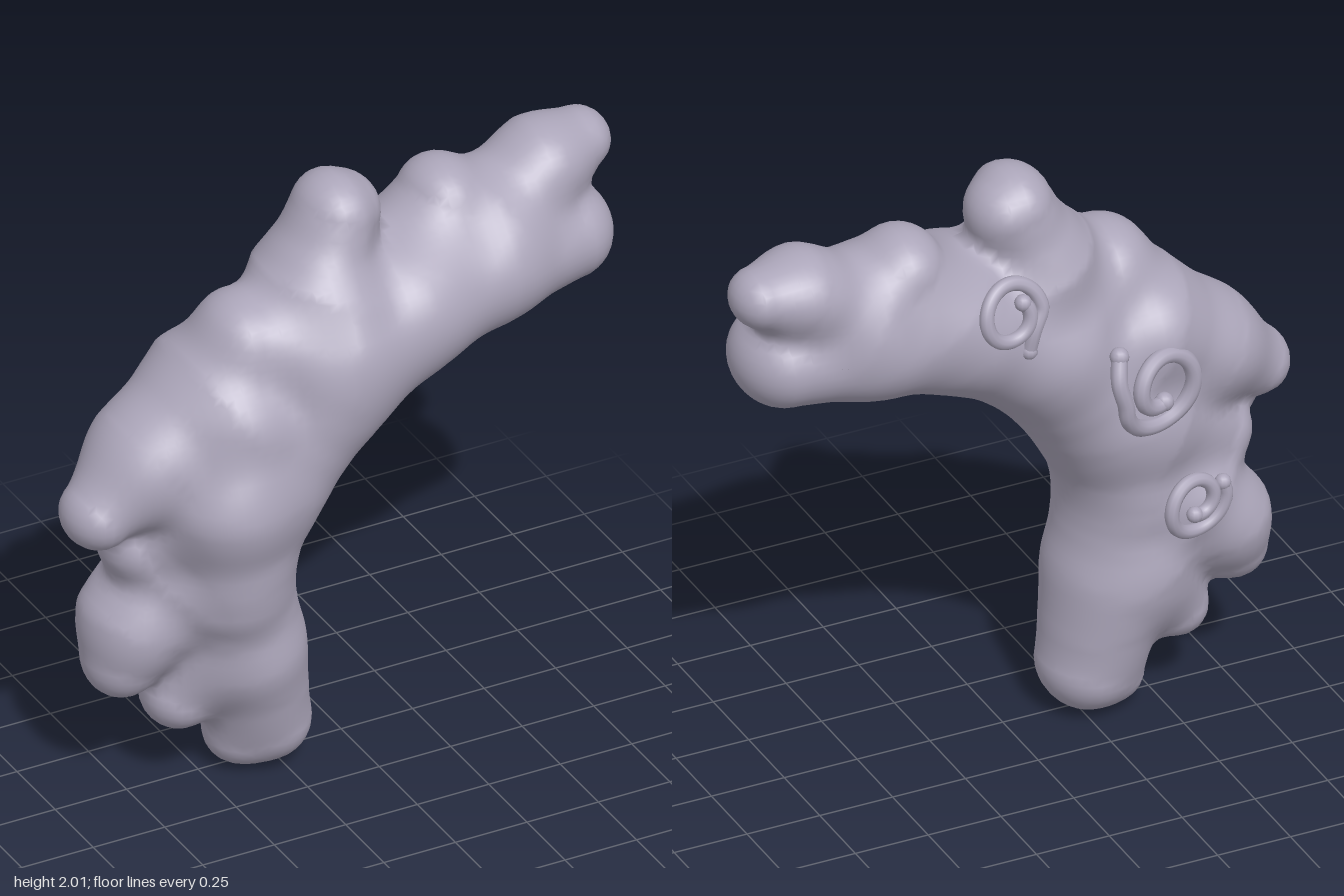
import * as THREE from 'three';

const DEPTH = 1.2; // every strand is a little deeper than it is wide

// Main arched strand: x, y, z, radius
const SPINE = [
  [-0.28, 0.155, 0, 0.15], [-0.37, 0.45, 0.015, 0.195], [-0.43, 0.78, 0.025, 0.205],
  [-0.355, 1.07, 0.025, 0.24], [-0.12, 1.375, 0.025, 0.25], [0.18, 1.53, 0.005, 0.235],
  [0.5, 1.58, -0.03, 0.21], [0.79, 1.57, -0.05, 0.16],
];

// Swell along the front of the arch
const FRONT_SWELL = [[-0.47, 0.72, 0.1, 0.145], [-0.49, 1.06, 0.12, 0.185], [-0.42, 1.3, 0.1, 0.17]];

// Swept-out locks, from root to tip
const LOCKS = [
  [[-0.33, 0.32, 0, 0.13], [-0.385, 0.1, 0, 0.08]],
  [[-0.46, 0.52, -0.02, 0.17], [-0.575, 0.3, -0.01, 0.11]],
  [[-0.61, 0.71, -0.03, 0.18], [-0.72, 0.59, -0.03, 0.145], [-0.77, 0.465, -0.02, 0.11]],
  [[-0.5, 1.02, 0, 0.2], [-0.725, 0.89, -0.01, 0.11]],
  [[-0.46, 1.34, 0, 0.225], [-0.69, 1.2, 0.01, 0.16], [-0.88, 1.065, 0.04, 0.11]],
  [[-0.09, 1.51, 0.07, 0.215], [-0.36, 1.555, 0.03, 0.15]],
  [[-0.09, 1.68, 0, 0.195], [-0.015, 1.885, -0.02, 0.11], [0.04, 1.875, -0.04, 0.09]],
  [[0.3, 1.64, -0.05, 0.18], [0.385, 1.79, -0.07, 0.135]],
  [[0.56, 1.7, -0.06, 0.165], [0.74, 1.81, -0.085, 0.12], [0.89, 1.835, -0.11, 0.095]],
];

const chain = (nodes, blend) => nodes.slice(1).map((b, i) => [nodes[i], b, blend]);
const CAPSULES = [
  ...chain(SPINE, 0.05), ...[FRONT_SWELL, ...LOCKS].flatMap((nodes) => chain(nodes, 0.085)),
];

// Signed distance to all strands melted together
function field(x, y, z) {
  let d = 10;
  for (const [a, b, k] of CAPSULES) {
    const px = x - a[0], py = y - a[1], pz = (z - a[2]) / DEPTH;
    const ex = b[0] - a[0], ey = b[1] - a[1], ez = (b[2] - a[2]) / DEPTH;
    let t = (px * ex + py * ey + pz * ez) / (ex * ex + ey * ey + ez * ez);
    t = Math.min(1, Math.max(0, t));
    const e = Math.hypot(px - t * ex, py - t * ey, pz - t * ez) - (a[3] + (b[3] - a[3]) * t);
    const h = Math.max(k - Math.abs(d - e), 0) / k;
    d = Math.min(d, e) - h * h * k / 4;
  }
  return d;
}

function gradient(p) {
  const e = 0.012;
  return new THREE.Vector3(
    field(p.x + e, p.y, p.z) - field(p.x - e, p.y, p.z),
    field(p.x, p.y + e, p.z) - field(p.x, p.y - e, p.z),
    field(p.x, p.y, p.z + e) - field(p.x, p.y, p.z - e),
  ).divideScalar(2 * e);
}

// Smooth skin over the field: one vertex per crossed cell, one quad per crossed grid edge
function skinGeometry() {
  const step = 0.03, n = [74, 74, 32], low = [-1.11, -0.1, -0.47];
  const stride = [1, n[0], n[0] * n[1]];
  const values = new Float32Array(n[0] * n[1] * n[2]);
  const each = (fn) => {
    for (let k = 1; k < n[2] - 1; k++)
      for (let j = 1; j < n[1] - 1; j++)
        for (let i = 1; i < n[0] - 1; i++) fn(i, j, k, i + j * stride[1] + k * stride[2]);
  };
  values.fill(1);
  each((i, j, k, id) => {
    values[id] = field(low[0] + i * step, low[1] + j * step, low[2] + k * step);
  });

  const positions = [], normals = [], index = [], cellVertex = new Map();
  each((i, j, k, id) => {
    let inside = 0;
    for (let c = 0; c < 8; c++) {
      const corner = id + (c & 1) + ((c >> 1) & 1) * stride[1] + (c >> 2) * stride[2];
      if (values[corner] < 0) inside++;
    }
    if (inside === 0 || inside === 8) return;
    const p = new THREE.Vector3(i + 0.5, j + 0.5, k + 0.5).multiplyScalar(step)
      .add(new THREE.Vector3(...low));
    for (let s = 0; s < 4; s++) {
      const g = gradient(p);
      p.addScaledVector(g, -field(p.x, p.y, p.z) / Math.max(g.lengthSq(), 0.3));
    }
    cellVertex.set(id, positions.length / 3);
    positions.push(p.x, p.y, p.z);
    normals.push(...gradient(p).normalize().toArray());
  });
  each((i, j, k, id) => {
    for (let d = 0; d < 3; d++) {
      const inside = values[id] < 0;
      if (inside === values[id + stride[d]] < 0) continue;
      const u = stride[(d + 1) % 3], v = stride[(d + 2) % 3];
      const q = [id, id - u, id - u - v, id - v].map((c) => cellVertex.get(c));
      if (!inside) q.reverse();
      index.push(q[0], q[1], q[2], q[0], q[2], q[3]);
    }
  });

  const geometry = new THREE.BufferGeometry();
  geometry.setAttribute('position', new THREE.Float32BufferAttribute(positions, 3));
  geometry.setAttribute('normal', new THREE.Float32BufferAttribute(normals, 3));
  geometry.setIndex(index);
  return geometry;
}

// Spiral ringlet on the back; angles run as seen from behind, in degrees
function ringlet(name, material, { x, y, z, slope, tilt, radius, inner, start, sweep, thick, tail }) {
  const group = new THREE.Group();
  group.name = name;
  const at = (dx, dy) => new THREE.Vector3(x + dx, y + dy, z + slope * dx + tilt * dy + dy * dy * 1.5);
  const points = tail.map(([dx, dy]) => at(dx, dy));
  for (let i = 0; i <= 24; i++) {
    const t = i / 24, angle = THREE.MathUtils.degToRad(start + sweep * t);
    const r = radius + (inner - radius) * t ** 1.6;
    points.push(at(-r * Math.cos(angle), r * Math.sin(angle)));
  }
  const path = new THREE.CatmullRomCurve3(points);
  group.add(new THREE.Mesh(new THREE.TubeGeometry(path, 90, thick, 10), material));
  for (const end of [points[0], points[points.length - 1]]) {
    const cap = new THREE.Mesh(new THREE.SphereGeometry(thick * 1.15, 12, 8), material);
    cap.position.copy(end);
    group.add(cap);
  }
  group.children.forEach((m) => { m.name = name + 'Part'; });
  return group;
}

export function createModel() {
  const model = new THREE.Group();
  model.name = 'sweptHair';
  const hair = new THREE.MeshStandardMaterial({ color: 0xaca6ba });
  hair.name = 'hairLavenderGrey';

  const mass = new THREE.Mesh(skinGeometry(), hair);
  mass.name = 'hairMass';
  model.add(mass);

  model.add(
    ringlet('upperRinglet', hair, {
      x: 0.1, y: 1.64, z: -0.275, slope: -0.1, tilt: 0.2, radius: 0.105, inner: 0.055,
      start: 0, sweep: 400, thick: 0.024, tail: [[-0.06, -0.14], [-0.075, -0.07]],
    }),
    ringlet('middleRinglet', hair, {
      x: -0.41, y: 1.25, z: -0.285, slope: -0.28, tilt: 0, radius: 0.145, inner: 0.05,
      start: 180, sweep: 460, thick: 0.027, tail: [[0.15, 0.16], [0.165, 0.08]],
    }),
    ringlet('lowerRinglet', hair, {
      x: -0.54, y: 0.79, z: -0.26, slope: -0.2, tilt: 0, radius: 0.11, inner: 0.04,
      start: 0, sweep: -460, thick: 0.023, tail: [[-0.1, 0.04]],
    }),
  );
  return model;
}
